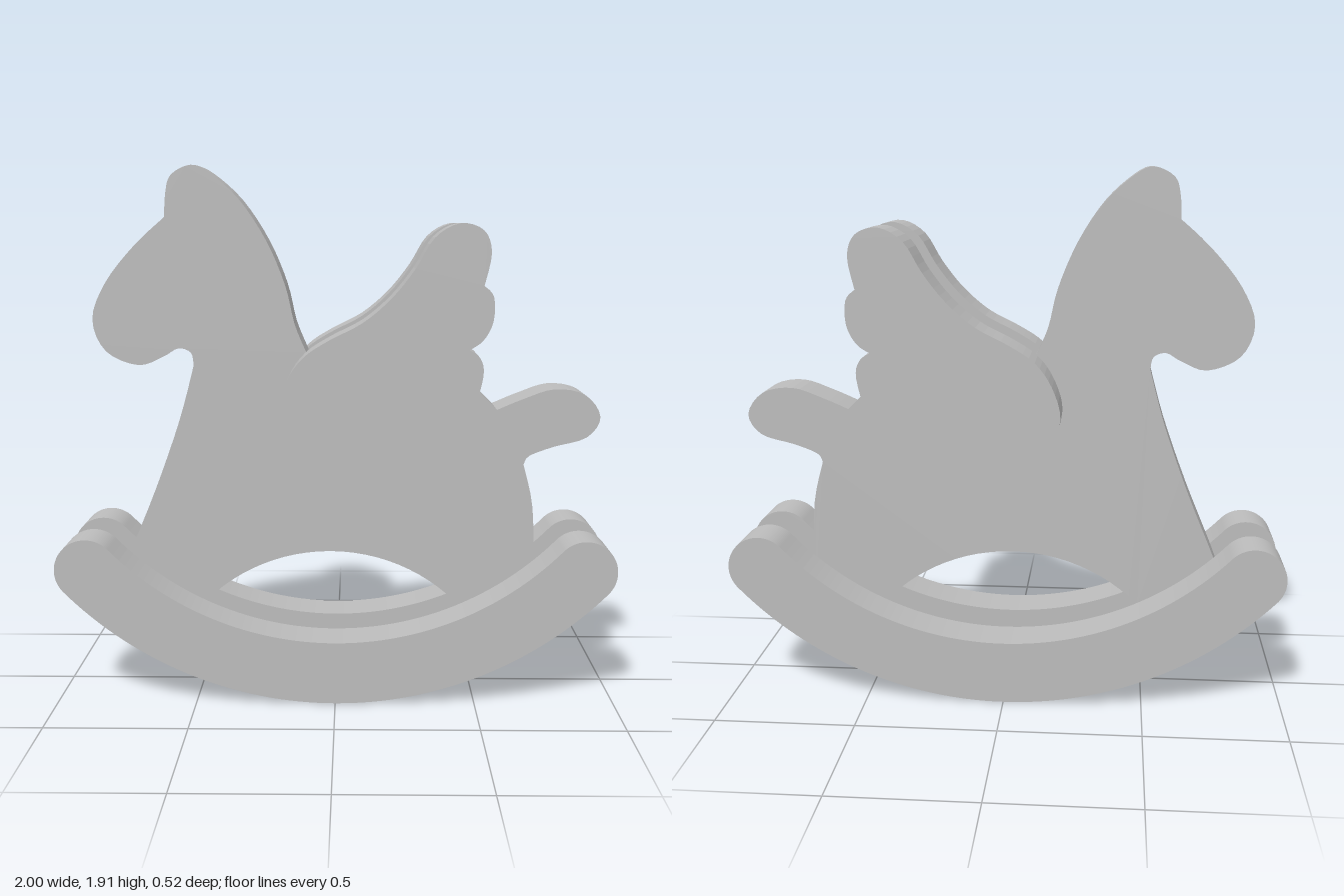
import * as THREE from 'three';

const BODY_HALF = 0.09; // half thickness of the centre board
const SIDE_DEPTH = 0.17; // thickness of each wing and rocker board

// Closed shape from smooth runs of points; runs meet at sharp corners.
function outline(runs) {
  const points = [];
  for (const run of runs) {
    const vectors = run.map(([x, y]) => new THREE.Vector2(x, y));
    const samples = vectors.length > 2
      ? new THREE.SplineCurve(vectors).getPoints((vectors.length - 1) * 4)
      : vectors;
    points.push(...samples.slice(0, -1));
  }
  return new THREE.Shape(points);
}

function board(name, shape, depth, z, material) {
  const geometry = new THREE.ExtrudeGeometry(shape, { depth, bevelEnabled: false, curveSegments: 32 });
  const mesh = new THREE.Mesh(geometry, material);
  mesh.name = name;
  mesh.position.z = z;
  return mesh;
}

// Horse silhouette: head, neck, back, tail and legs
function bodyShape() {
  const arch = [];
  const start = Math.asin(0.32 / 0.65);
  for (let i = 0; i <= 8; i++) {
    const a = start + (Math.PI - 2 * start) * i / 8;
    arch.push([-0.02 + 0.65 * Math.cos(a), -0.13 + 0.65 * Math.sin(a)]);
  }
  return outline([
    // muzzle and chin
    [[-0.605, 1.73], [-0.715, 1.63], [-0.82, 1.5], [-0.87, 1.37], [-0.825, 1.255], [-0.71, 1.205],
      [-0.62, 1.235], [-0.565, 1.265], [-0.52, 1.25], [-0.51, 1.205]],
    // chest and front leg
    [[-0.51, 1.205], [-0.565, 1.005], [-0.655, 0.755], [-0.76, 0.5], [-0.82, 0.33]],
    [[-0.82, 0.33], arch[8]],
    // arch between the legs
    arch.slice().reverse(),
    [arch[0], [0.725, 0.26]],
    // back leg
    [[0.725, 0.26], [0.725, 0.487], [0.715, 0.695], [0.68, 0.845]],
    // tail
    [[0.68, 0.845], [0.7, 0.877], [0.785, 0.91], [0.905, 0.945], [0.952, 1.02], [0.895, 1.1],
      [0.785, 1.12], [0.675, 1.085], [0.58, 1.045]],
    // rump and saddle
    [[0.58, 1.045], [0.495, 1.12], [0.37, 1.163], [0.22, 1.14], [0.05, 1.13], [-0.05, 1.175], [-0.105, 1.25]],
    // neck and ear
    [[-0.105, 1.25], [-0.147, 1.353], [-0.18, 1.49], [-0.245, 1.645], [-0.34, 1.79], [-0.445, 1.885],
      [-0.51, 1.91], [-0.58, 1.875], [-0.6, 1.81], [-0.605, 1.73]],
  ]);
}

// Wing with three rounded feather tips
function wingShape() {
  return outline([
    [[0.463, 1.277], [0.5, 1.25], [0.512, 1.187], [0.473, 1.06], [0.38, 0.947], [0.25, 0.872], [0.083, 0.845],
      [-0.07, 0.877], [-0.163, 0.957], [-0.2, 1.055], [-0.17, 1.165], [-0.11, 1.25], [-0.02, 1.31],
      [0.095, 1.37], [0.195, 1.455], [0.275, 1.555], [0.34, 1.66], [0.425, 1.708], [0.505, 1.685],
      [0.533, 1.61], [0.51, 1.497]],
    [[0.51, 1.497], [0.543, 1.46], [0.543, 1.375], [0.51, 1.31], [0.463, 1.277]],
  ]);
}

// Curved runner with round ends
function rockerShape() {
  const centreY = 1.35, outer = 1.35, inner = 1.125;
  const mid = (outer + inner) / 2, cap = (outer - inner) / 2;
  const spread = Math.asin((1 - cap) / mid);
  const left = -Math.PI / 2 - spread, right = -Math.PI / 2 + spread;
  const shape = new THREE.Shape();
  shape.absarc(0, centreY, outer, left, right, false);
  shape.absarc(mid * Math.cos(right), centreY + mid * Math.sin(right), cap, right, right + Math.PI, false);
  shape.absarc(0, centreY, inner, right, left, true);
  shape.absarc(mid * Math.cos(left), centreY + mid * Math.sin(left), cap, left + Math.PI, left + 2 * Math.PI, false);
  return shape;
}

export function createModel() {
  const group = new THREE.Group();
  group.name = 'rockingHorse';
  const grey = new THREE.MeshStandardMaterial({ color: 0xbcbcbc });
  grey.name = 'plain grey';

  group.add(board('body', bodyShape(), 2 * BODY_HALF, -BODY_HALF, grey));

  // One wing and one rocker on each face of the body
  const wing = wingShape(), rocker = rockerShape();
  for (const [side, z] of [['front', BODY_HALF], ['back', -BODY_HALF - SIDE_DEPTH]]) {
    group.add(board(side + 'Wing', wing, SIDE_DEPTH, z, grey));
    group.add(board(side + 'Rocker', rocker, SIDE_DEPTH, z, grey));
  }
  return group;
}
